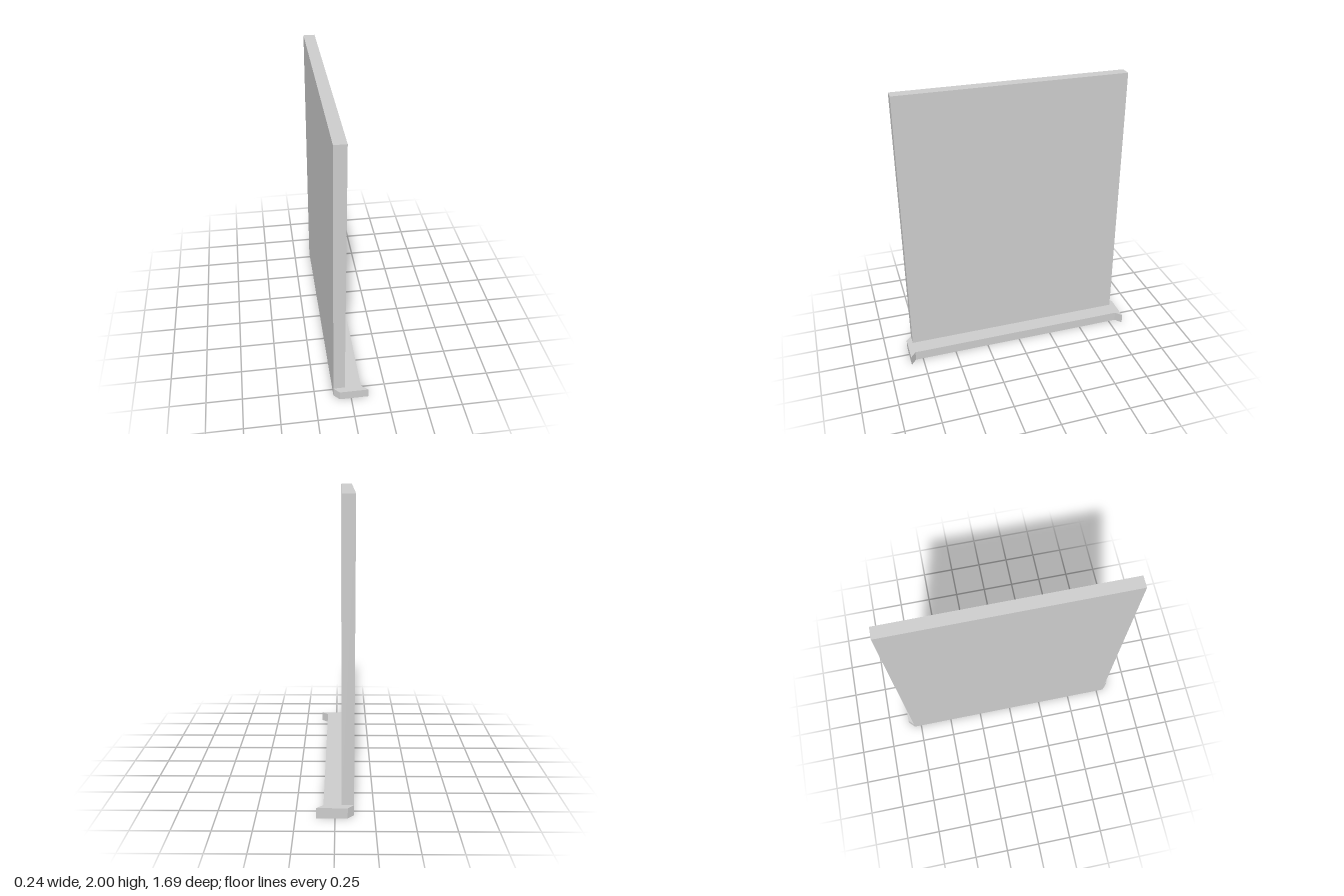
import * as THREE from 'three';

export function createModel() {
  const group = new THREE.Group();
  const material = new THREE.MeshStandardMaterial({ color: 0xcccccc, flatShading: true });
  const sillHeight = 0.07;

  // Upright slab standing on the sill
  const panel = new THREE.Mesh(new THREE.BoxGeometry(0.08, 2 - sillHeight, 1.606), material);
  panel.name = 'panel';
  panel.position.set(-0.08, (2 + sillHeight) / 2, 0);
  group.add(panel);

  // Sill: mirrored outline with chamfered back corners and flared front ends
  const half = [[-0.12, 0.803], [-0.08, 0.843], [0.12, 0.843], [0.073, 0.803]];
  const mirrored = half.map(([x, z]) => [x, -z]).reverse();
  const outline = new THREE.Shape([...half, ...mirrored].map(([x, z]) => new THREE.Vector2(x, z)));
  const sillGeometry = new THREE.ExtrudeGeometry(outline, { depth: sillHeight, bevelEnabled: false });
  sillGeometry.rotateX(-Math.PI / 2);
  const sill = new THREE.Mesh(sillGeometry, material);
  sill.name = 'sill';
  group.add(sill);

  return group;
}
